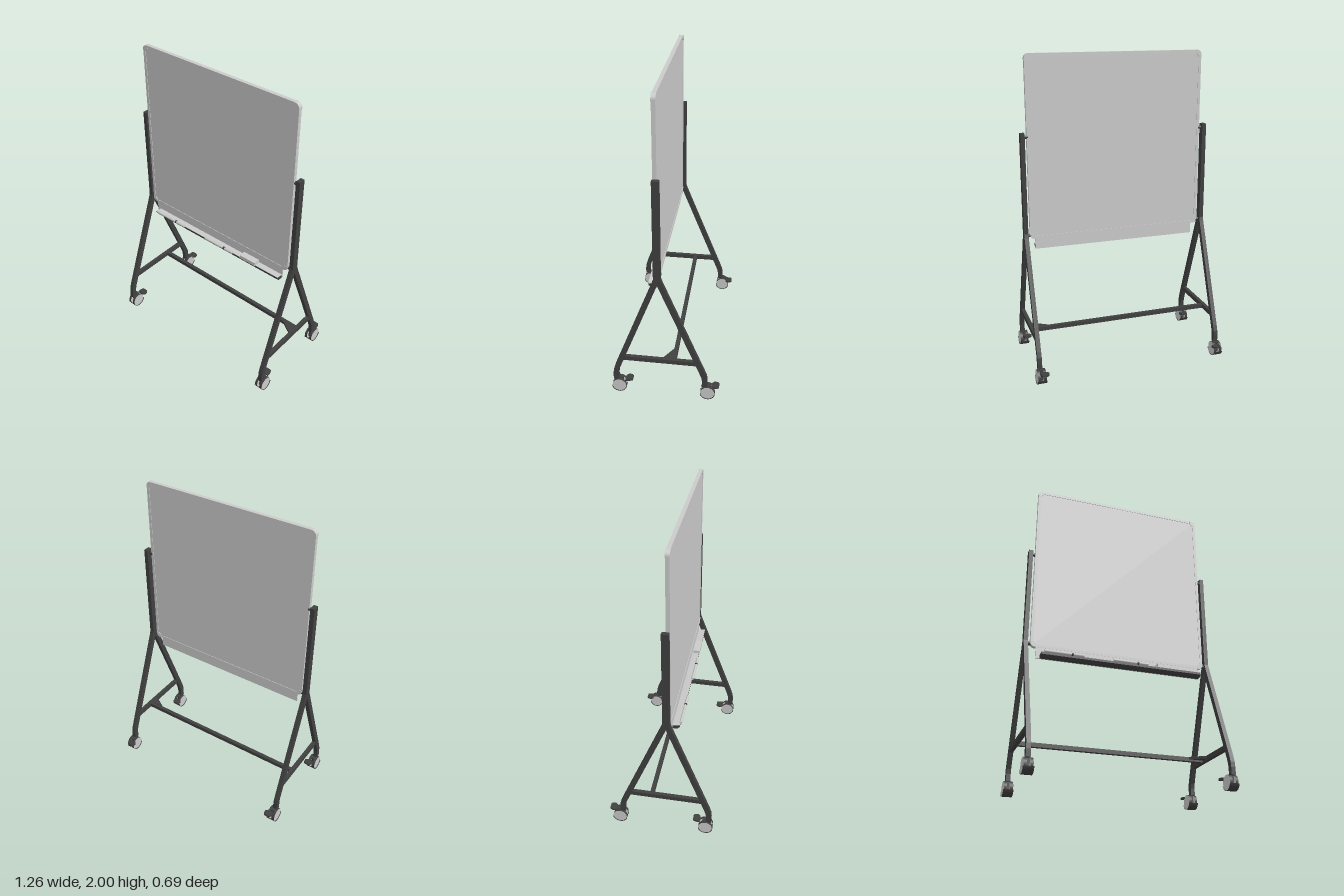
import * as THREE from 'three';

const mat = (name, color, side = THREE.FrontSide) => {
  const m = new THREE.MeshStandardMaterial({ color, side });
  m.name = name;
  return m;
};

export function createModel() {
  const dark = mat('dark steel', 0x404040, THREE.DoubleSide);
  const light = mat('light grey', 0xcbcbcb, THREE.DoubleSide);
  const model = new THREE.Group();
  model.name = 'mobileWhiteboard';

  const add = (parent, name, geo, material, x = 0, y = 0, z = 0) => {
    const m = new THREE.Mesh(geo, material);
    m.name = name;
    m.position.set(x, y, z);
    parent.add(m);
    return m;
  };
  const box = (parent, name, material, [x0, x1], [y0, y1], [z0, z1]) =>
    add(parent, name, new THREE.BoxGeometry(x1 - x0, y1 - y0, z1 - z0), material,
      (x0 + x1) / 2, (y0 + y1) / 2, (z0 + z1) / 2);

  // Rounded rectangle outline
  const roundRect = (w, h, r, Kind = THREE.Shape) => {
    const s = new Kind(), a = w / 2, b = h / 2;
    s.moveTo(-a + r, -b);
    s.lineTo(a - r, -b); s.absarc(a - r, -b + r, r, -Math.PI / 2, 0);
    s.lineTo(a, b - r); s.absarc(a - r, b - r, r, 0, Math.PI / 2);
    s.lineTo(-a + r, b); s.absarc(-a + r, b - r, r, Math.PI / 2, Math.PI);
    s.lineTo(-a, -b + r); s.absarc(-a + r, -b + r, r, Math.PI, Math.PI * 1.5);
    return s;
  };
  const extrude = (shape, depth) => new THREE.ExtrudeGeometry(shape,
    { depth, bevelEnabled: false, curveSegments: 6 }).translate(0, 0, -depth / 2);
  // Outline drawn in (z, y) and extruded along x
  const sideExtrude = (pts, width) => extrude(
    new THREE.Shape(pts.map(p => new THREE.Vector2(...p))), width).rotateY(-Math.PI / 2);

  // Flat bar of constant width following a path in (z, y)
  const bar = (path, w, width) => {
    const L = [], R = [];
    path.forEach((p, i) => {
      const a = path[Math.max(i - 1, 0)], b = path[Math.min(i + 1, path.length - 1)];
      const dx = b[0] - a[0], dy = b[1] - a[1], k = w / 2 / Math.hypot(dx, dy);
      L.push([p[0] - dy * k, p[1] + dx * k]);
      R.unshift([p[0] + dy * k, p[1] - dx * k]);
    });
    return sideExtrude([...L, ...R], width);
  };

  // Board: writing panel, frame and corner caps
  const board = new THREE.Group();
  board.name = 'board';
  board.position.set(0, 1.4225, 0.053);
  model.add(board);
  const W = 1.15, H = 1.155;
  add(board, 'writingPanel', new THREE.BoxGeometry(W - 0.03, H - 0.03, 0.018), light);
  const ring = roundRect(W, H, 0.03);
  ring.holes.push(roundRect(W - 0.036, H - 0.036, 0.012, THREE.Path));
  add(board, 'frame', extrude(ring, 0.024), light);
  const cap = new THREE.Shape();
  cap.moveTo(0.002, -0.035);
  cap.lineTo(0.002, -0.028);
  cap.absarc(-0.028, -0.028, 0.03, 0, Math.PI / 2);
  cap.lineTo(-0.035, 0.002);
  cap.lineTo(-0.035, -0.019);
  cap.lineTo(-0.019, -0.035);
  for (let i = 0; i < 4; i++) {
    const sx = i === 0 || i === 3 ? 1 : -1, sy = i < 2 ? 1 : -1;
    add(board, 'cornerCap', extrude(cap, 0.027), light, sx * (W / 2 - 0.001), sy * (H / 2 - 0.002))
      .rotation.z = i * Math.PI / 2;
  }

  // Pen tray with markers and eraser
  const tray = new THREE.Group();
  tray.name = 'penTray';
  model.add(tray);
  box(tray, 'trayBack', light, [-0.54, 0.54], [0.772, 0.85], [0.056, 0.064]);
  add(tray, 'trayBody', sideExtrude(
    [[0.064, 0.772], [0.092, 0.772], [0.108, 0.786], [0.108, 0.8], [0.064, 0.794]], 1.05), dark, 0.012);
  add(tray, 'trayFloor', sideExtrude(
    [[0.064, 0.794], [0.109, 0.8], [0.109, 0.803], [0.064, 0.798]], 1.05), light, 0.012);
  for (const [x, len] of [[-0.37, 0.25], [0.06, 0.23]]) {
    add(tray, 'marker', new THREE.CylinderGeometry(0.009, 0.009, len, 10).rotateZ(Math.PI / 2),
      light, x, 0.806, 0.112);
    add(tray, 'markerCap', new THREE.CylinderGeometry(0.0095, 0.0095, 0.012, 10).rotateZ(Math.PI / 2),
      dark, x + len * 0.2, 0.806, 0.112);
  }
  box(tray, 'eraser', light, [0.24, 0.36], [0.798, 0.822], [0.07, 0.114]);

  // One caster: twin wheels, fender, stem and brake lever
  const caster = (parent, z, side, reach) => {
    const c = new THREE.Group();
    c.name = 'caster';
    c.position.set(side * 0.6, 0.046, z);
    parent.add(c);
    for (const s of [-1, 1]) {
      add(c, 'wheel', new THREE.CylinderGeometry(0.045, 0.045, 0.017, 20).rotateZ(Math.PI / 2),
        [dark, light, light], s * 0.0185);
    }
    add(c, 'axle', new THREE.CylinderGeometry(0.012, 0.012, 0.03, 10).rotateZ(Math.PI / 2), dark);
    add(c, 'fender', new THREE.CylinderGeometry(0.048, 0.048, 0.062, 16, 1, true,
      Math.PI * 0.85, Math.PI * 0.85).rotateZ(Math.PI / 2).rotateX(-Math.PI * 0.22), dark);
    box(c, 'forkBlock', dark, [-0.01, 0.01], [-0.02, 0.046], [-0.022, 0.022]);
    box(c, 'stem', dark, [-0.012, 0.012], [0.04, 0.06], [-0.006 + reach.stem, 0.018 + reach.stem]);
    const lever = new THREE.Shape([[-0.012, 0.02], [0.03, 0.02], [0.045, 0.036], [0.04, 0.058],
      [0.032, 0.066], [-0.004, 0.066], [-0.012, 0.045]]
      .map(([u, v]) => new THREE.Vector2(-side * u, v)));
    const l = add(c, 'brakeLever', extrude(lever, 0.012).rotateX(-Math.PI / 2), dark,
      0, 0.03, reach.lever);
    l.rotation.x = 0.06;
  };

  // Side supports, mirrored
  for (const side of [-1, 1]) {
    const g = new THREE.Group();
    g.name = side > 0 ? 'leftSupport' : 'rightSupport';
    model.add(g);
    const x = side * 0.6035, t = 0.027;
    box(g, 'upright', dark, [x - t / 2, x + t / 2], [0.86, 1.525], [0.022, 0.066]);
    add(g, 'frontLeg', bar([[0.046, 0.89], [0.056, 0.855], [0.304, 0.195], [0.314, 0.16],
      [0.317, 0.13], [0.317, 0.085]], 0.034, t), dark, x);
    add(g, 'rearLeg', bar([[0.041, 0.89], [0.03, 0.855], [-0.234, 0.195], [-0.247, 0.16],
      [-0.251, 0.13], [-0.251, 0.085]], 0.034, t), dark, x);
    box(g, 'sideRail', dark, [x - 0.012, x + 0.012], [0.25, 0.28], [-0.2, 0.27]);
    for (const y of [0.868, 1.5]) {
      add(g, 'boardPivot', new THREE.CylinderGeometry(0.011, 0.011, 0.03, 10).rotateZ(Math.PI / 2),
        dark, side * 0.583, y, 0.05);
    }
    caster(g, 0.297, side, { stem: 0.012, lever: -0.018 });
    caster(g, -0.27, side, { stem: 0.012, lever: -0.006 });
  }

  // Long cross rail and its gusset plate
  box(model, 'crossRail', dark, [-0.595, 0.595], [0.252, 0.278], [-0.068, -0.043]);
  const gusset = new THREE.Shape([[0.495, 0.046], [0.593, 0.046], [0.593, -0.015]]
    .map(p => new THREE.Vector2(...p)));
  add(model, 'gusset', extrude(gusset, 0.016).rotateX(-Math.PI / 2), dark, 0, 0.272, 0);

  return model;
}
